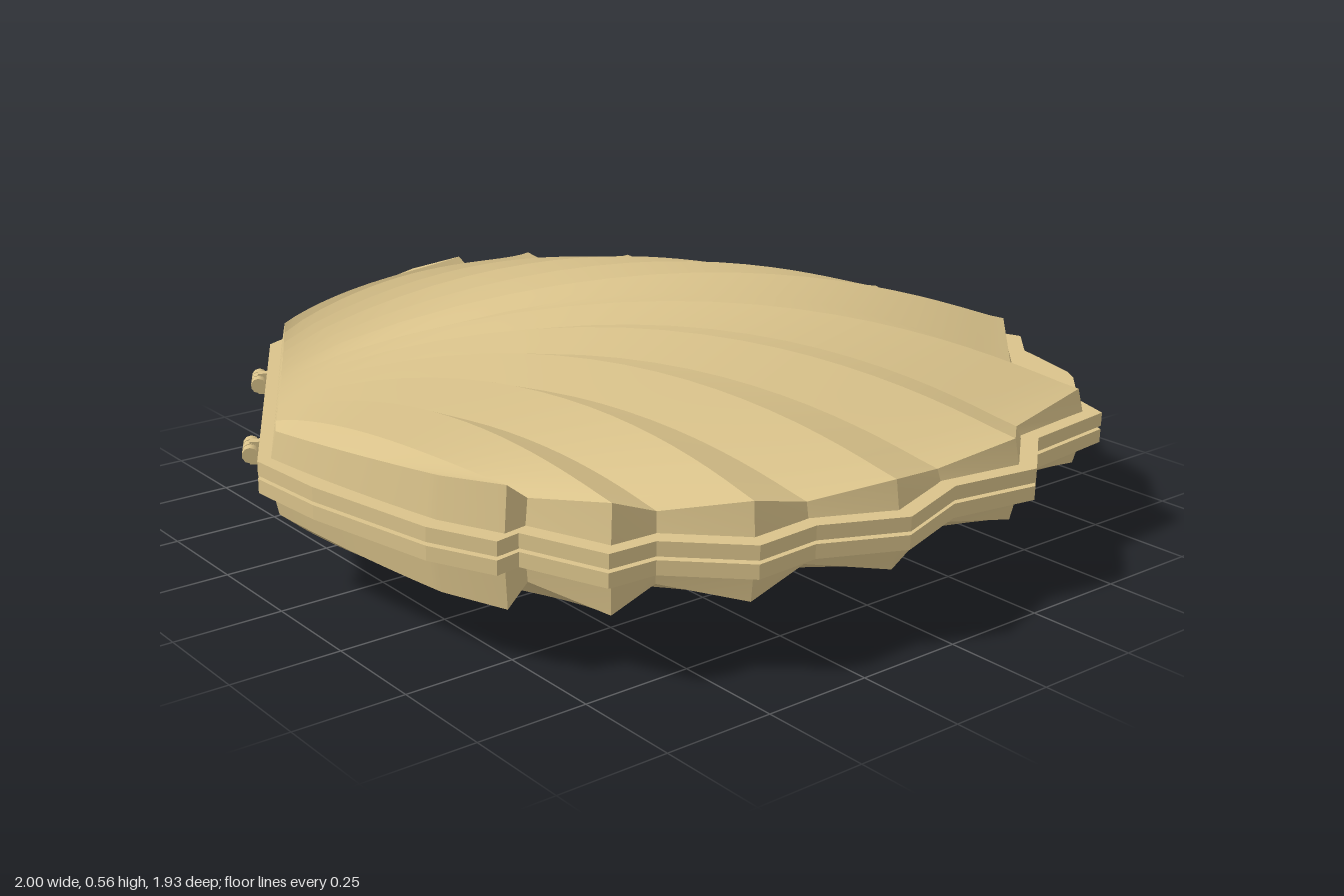
import * as THREE from 'three';
import { toCreasedNormals } from 'three/addons/utils/BufferGeometryUtils.js';

// Half outline in the shell's own frame: [distance from hinge, sideways], odd entries are rib tips.
const HALF = [
  [0.337, 0.807], [0.47, 0.895], [0.515, 0.858], [0.676, 0.979], [0.775, 0.927],
  [0.97, 0.97], [1.1, 0.884], [1.299, 0.86], [1.434, 0.707], [1.636, 0.627],
  [1.7, 0.445], [1.902, 0.296], [1.83, 0],
];
const mirror = (pts) => pts.map(([s, w]) => [s, -w * 0.988]).reverse();
const ENDS = [...HALF, ...mirror(HALF.slice(0, 12))];
const SIDE = [[0, 0.41], [0.116, 0.57]];
const OUTLINE = [...SIDE, ...ENDS, ...mirror(SIDE)];
const MID = 0.9, LAST = ENDS.length - 1, STEPS = 20;
const lerp = THREE.MathUtils.lerp;

// Point on the ribbed dome: rib line k, fraction t from hinge to edge
function domePoint(k, t) {
  const u = Math.abs(k - 12) / 12;
  const f = Math.min(1, Math.min(k, LAST - k) / 4);
  const s0 = 0.04, w0 = 0.385 * (1 - k / 12);
  const s1 = MID + (ENDS[k][0] - MID) * 0.945, w1 = ENDS[k][1] * 0.945;
  const cs = s1 * (0.5 + 0.3 * f), cw = lerp(w0, w1, 0.5 - 0.06 * f);
  const a = (1 - t) * (1 - t), b = 2 * t * (1 - t), c = t * t;
  const swell = Math.sin(Math.PI * Math.pow(t, 0.68));
  let h = 0.09 + u * u * lerp(0.02, 0.05, t);
  h += 0.19 * (1 - Math.pow(u, 1.6)) * Math.pow(swell, 1.2);
  if (k === 0 || k === LAST) h -= 0.015;
  else if (k % 2 === 0) h -= 0.035 + (0.06 * u - 0.02) * Math.sin(Math.PI * t);
  return [a * s0 + b * cs + c * s1, h, a * w0 + b * cw + c * w1];
}

// Ribbed half shell with a steep wall all round; up is 1 or -1
function shellGeometry(up) {
  const pos = [], index = [], cols = STEPS + 3;
  for (let k = -1; k <= LAST + 1; k++) {
    for (let j = -1; j <= STEPS + 1; j++) {
      const kk = THREE.MathUtils.clamp(k, 0, LAST), jj = THREE.MathUtils.clamp(j, 0, STEPS);
      let [s, h, w] = domePoint(kk, jj / STEPS);
      if (kk !== k || jj !== j) {
        s = MID + (s - MID) * 1.015;
        w *= 1.015;
        h = 0.03;
      }
      pos.push(s, h * up, -w);
    }
  }
  for (let k = 0; k < LAST + 2; k++) {
    for (let j = 0; j < cols - 1; j++) {
      const a = k * cols + j, b = a + 1, c = a + cols, d = c + 1;
      if (up > 0) index.push(a, c, b, b, c, d);
      else index.push(a, b, c, b, d, c);
    }
  }
  const geo = new THREE.BufferGeometry();
  geo.setAttribute('position', new THREE.Float32BufferAttribute(pos, 3));
  geo.setIndex(index);
  return toCreasedNormals(geo, 0.35);
}

// Flat plate cut to an outline, from height y0 to y1
function plate(points, y0, y1, scale = 1) {
  const shape = new THREE.Shape(points.map(([s, w]) =>
    new THREE.Vector2(MID + (s - MID) * scale, w * scale)));
  const geo = new THREE.ExtrudeGeometry(shape, { depth: y1 - y0, bevelEnabled: false });
  return geo.rotateX(-Math.PI / 2).translate(0, y0, 0);
}

export function createModel() {
  const gold = new THREE.MeshStandardMaterial({ color: 0xdac38b, side: THREE.DoubleSide });
  gold.name = 'paleGold';
  const shell = new THREE.Group();
  shell.name = 'scallopCase';
  const add = (name, geo) => {
    const mesh = new THREE.Mesh(geo, gold);
    mesh.name = name;
    shell.add(mesh);
    return mesh;
  };

  // Two ribbed halves, their rims and the recessed seam
  add('upperShell', shellGeometry(1));
  add('lowerShell', shellGeometry(-1));
  add('upperRim', plate(OUTLINE, 0.004, 0.036));
  add('lowerRim', plate(OUTLINE, -0.036, -0.004));
  add('seam', plate(OUTLINE, -0.004, 0.004, 0.97));

  // Thumb tab filling the front notch
  add('thumbTab', plate([[1.78, 0.12], [1.878, 0.2], [1.897, 0.14], [1.93, 0.022],
    [1.93, -0.022], [1.897, -0.14], [1.878, -0.2], [1.78, -0.12]], -0.03, 0.03));

  // Hinge knuckles
  for (const side of [1, -1]) {
    for (const i of [-1, 0, 1]) {
      const knuckle = add('hingeKnuckle', new THREE.CylinderGeometry(0.018, 0.018, 0.024, 10));
      knuckle.rotation.x = Math.PI / 2;
      knuckle.position.set(-0.022, 0, side * 0.235 + i * 0.028);
      const lug = add('hingeLug', new THREE.BoxGeometry(0.035, 0.014, 0.022));
      lug.position.set(-0.006, i === 0 ? 0.014 : -0.014, side * 0.235 + i * 0.028);
    }
  }

  // Turn the hinge to the back right and tilt the whole case slightly
  shell.rotation.y = -Math.PI / 6;
  shell.position.set(-0.795, 0, -0.425);
  const tilt = new THREE.Group();
  tilt.name = 'tiltedCase';
  tilt.add(shell);
  tilt.rotation.x = 0.025;
  tilt.position.y = 0.283;
  const model = new THREE.Group();
  model.name = 'scallopShellCase';
  model.add(tilt);
  return model;
}
